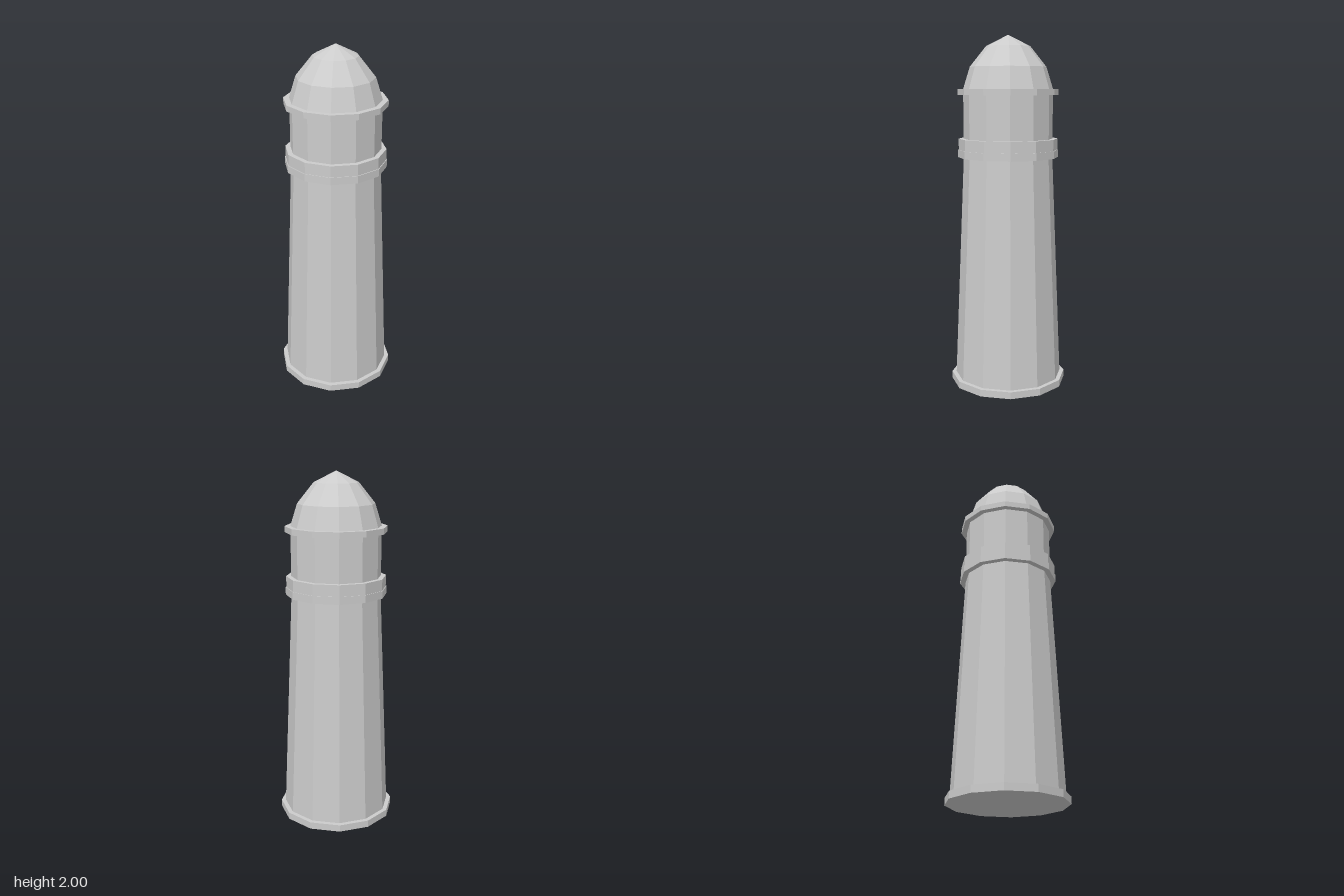
import * as THREE from 'three';

const SIDES = 12;

export function createModel() {
  const group = new THREE.Group();
  const material = new THREE.MeshStandardMaterial({ color: 0xcccccc, flatShading: true });

  // Twelve-sided drum from y0 to y1
  function drum(name, y0, y1, rBottom, rTop = rBottom) {
    const geometry = new THREE.CylinderGeometry(rTop, rBottom, y1 - y0, SIDES);
    const mesh = new THREE.Mesh(geometry, material);
    mesh.name = name;
    mesh.position.y = (y0 + y1) / 2;
    group.add(mesh);
  }

  drum('basePlinth', 0, 0.04, 0.333);
  drum('taperedTower', 0.04, 1.32, 0.308, 0.253);
  drum('galleryDeck', 1.32, 1.362, 0.285);
  drum('galleryParapet', 1.362, 1.425, 0.281);
  drum('lanternRoom', 1.425, 1.67, 0.253);
  drum('roofRing', 1.67, 1.703, 0.285);

  // Faceted dome with a shallow pointed cap
  const profile = [[0.253, 1.703], [0.215, 1.825], [0.124, 1.938], [0, 2]];
  const dome = new THREE.Mesh(
    new THREE.LatheGeometry(profile.map(([r, y]) => new THREE.Vector2(r, y)), SIDES),
    material
  );
  dome.name = 'domeRoof';
  group.add(dome);

  return group;
}
